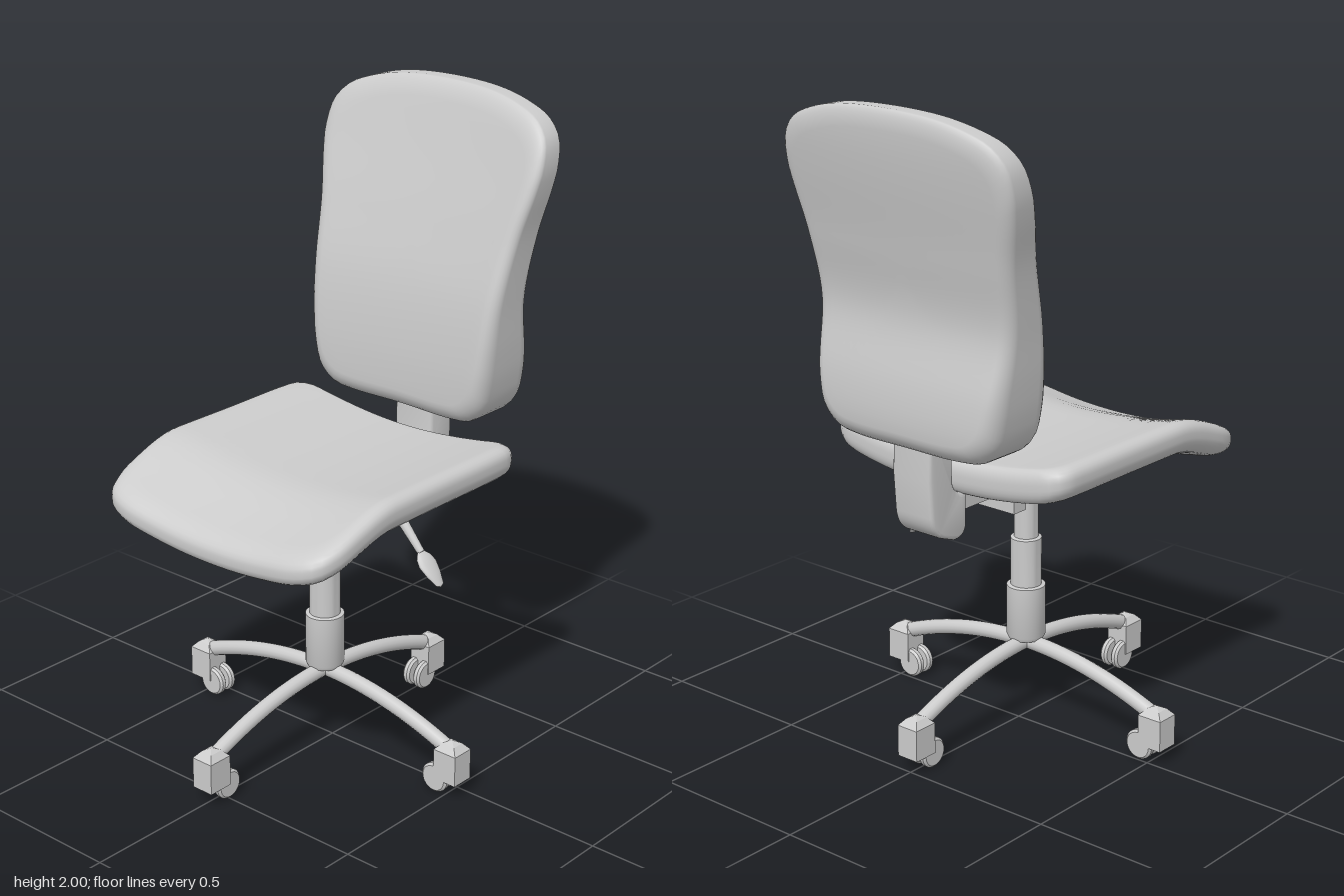
import * as THREE from 'three';
import { mergeVertices, toCreasedNormals } from 'three/addons/utils/BufferGeometryUtils.js';

const smooth = new THREE.MeshStandardMaterial({ color: 0xcccccc, side: THREE.DoubleSide });
const faceted = new THREE.MeshStandardMaterial({ color: 0xcccccc, flatShading: true });
const CZ = 0.035; // z of the column axis

function add(parent, name, geometry, x = 0, y = 0, z = 0, material = smooth) {
  const mesh = new THREE.Mesh(geometry, material);
  mesh.name = name;
  mesh.position.set(x, y, z);
  parent.add(mesh);
  return mesh;
}

const lathe = (pts, segments, phi = 0) =>
  new THREE.LatheGeometry(pts.map(p => new THREE.Vector2(...p)), segments, phi);

// Smooth value table: positions -> values
function table(xs, ys) {
  const f = new THREE.CubicInterpolant(xs, ys, 1);
  return t => f.evaluate(THREE.MathUtils.clamp(t, xs[0], xs[xs.length - 1]))[0];
}

// Padded slab: a mirrored outline, shrunk in rings over both faces, with a rounded rim.
// rs = rim radius as a share of the outline, rw = as a share of the thickness.
function cushion(half, centre, rs, rw, place) {
  const mirrored = half.slice(1, -1).reverse().map(([a, b]) => [-a, b]);
  const outline = new THREE.CatmullRomCurve3(
    [...half, ...mirrored].map(([a, b]) => new THREE.Vector3(a, b, 0)), true, 'centripetal'
  ).getSpacedPoints(120).slice(0, -1);
  const lower = [];
  for (let i = 0; i <= 12; i++) lower.push([(1 - rs) * i / 12, 0]);
  for (let i = 1; i <= 6; i++) {
    const a = i / 6 * Math.PI / 2;
    lower.push([1 - rs + rs * Math.sin(a), rw * (1 - Math.cos(a))]);
  }
  const rings = [...lower, ...lower.slice().reverse().map(([s, w]) => [s, 1 - w])];
  const n = outline.length, pos = [], index = [];
  rings.forEach(([s, w], i) => outline.forEach((p, j) => {
    pos.push(...place(p.x * s, centre + (p.y - centre) * s, w));
    if (i === rings.length - 1) return;
    const a = i * n + j, b = i * n + (j + 1) % n;
    index.push(a, b, a + n, b, b + n, a + n);
  }));
  let g = new THREE.BufferGeometry();
  g.setAttribute('position', new THREE.Float32BufferAttribute(pos, 3));
  g.setIndex(index);
  g = mergeVertices(g, 1e-5);
  g.computeVertexNormals();
  return g;
}

// Seat: dished across, drooping at the front edge
function seatGeometry() {
  const half = [[0, -0.555], [0.2, -0.555], [0.34, -0.552], [0.405, -0.527], [0.434, -0.47], [0.443, -0.38],
    [0.443, 0], [0.443, 0.25], [0.436, 0.31], [0.405, 0.342], [0.34, 0.35], [0, 0.35]];
  return cushion(half, 0.1, 0.11, 0.42, (x, b, w) => {
    const z = -b;
    const droop = 0.085 * THREE.MathUtils.smoothstep(z, 0.22, 0.58);
    return [x, 0.845 + 0.105 * w + 0.054 * (x / 0.43) ** 2 - droop, z];
  });
}

// Backrest: wide at the top, with a lumbar bulge, leaning back
function backGeometry() {
  const half = [[0, 1.013], [0.2, 1.013], [0.27, 1.025], [0.318, 1.07], [0.34, 1.15], [0.352, 1.25], [0.362, 1.4],
    [0.382, 1.6], [0.41, 1.74], [0.418, 1.81], [0.405, 1.885], [0.36, 1.935], [0.29, 1.965], [0.18, 1.99], [0, 2]];
  const front = table([1, 1.2, 1.4, 1.6, 1.8, 2], [-0.287, -0.292, -0.32, -0.377, -0.442, -0.505]);
  const rear = table([1, 1.1, 1.2, 1.4, 1.6, 1.8, 1.9, 2], [-0.525, -0.536, -0.53, -0.495, -0.525, -0.565, -0.581, -0.59]);
  return cushion(half, 1.5, 0.12, 0.24, (x, y, w) =>
    [x - 0.007, y, THREE.MathUtils.lerp(rear(y), front(y), w) + 0.02 * (x / 0.4) ** 2 - 0.006]);
}

// Bent post that carries the backrest
function postGeometry() {
  const shape = new THREE.Shape();
  shape.moveTo(-0.39, 1.06);
  shape.lineTo(-0.39, 0.9);
  shape.quadraticCurveTo(-0.385, 0.85, -0.332, 0.84);
  shape.lineTo(-0.332, 0.755);
  shape.quadraticCurveTo(-0.335, 0.725, -0.37, 0.728);
  shape.lineTo(-0.42, 0.747);
  shape.quadraticCurveTo(-0.455, 0.765, -0.46, 0.81);
  shape.lineTo(-0.468, 0.92);
  shape.lineTo(-0.463, 1.06);
  const g = new THREE.ExtrudeGeometry(shape, {
    depth: 0.122, bevelSize: 0.012, bevelThickness: 0.012, bevelSegments: 3, curveSegments: 8 });
  g.translate(0, 0, -0.061);
  g.rotateY(-Math.PI / 2);
  return toCreasedNormals(g, 0.6);
}

// One base leg along +x with its twin-wheel caster
function makeLeg() {
  const leg = new THREE.Group();
  leg.name = 'baseLeg';
  const arc = new THREE.QuadraticBezierCurve3(
    new THREE.Vector3(0, 0.248, 0), new THREE.Vector3(0.25, 0.248, 0), new THREE.Vector3(0.5, 0.143, 0));
  add(leg, 'legTube', new THREE.TubeGeometry(arc, 24, 0.024, 14));
  const q = Math.SQRT2;
  const housing = lathe([[0, 0.05], [q, 0.05], [q, 0.148], [0.55 * q, 0.168], [0, 0.178]], 4, Math.PI / 4);
  housing.scale(0.041, 1, 0.037);
  add(leg, 'casterHousing', housing.toNonIndexed(), 0.506, 0, 0, faceted);
  for (const side of [-1, 1]) {
    const wheel = lathe([[0, -0.013], [0.04, -0.013], [0.047, -0.006], [0.047, 0.006], [0.04, 0.013], [0, 0.013]], 24);
    wheel.rotateX(Math.PI / 2);
    add(leg, 'casterWheel', toCreasedNormals(wheel, 0.5), 0.463, 0.048, side * 0.021);
  }
  const axle = new THREE.CylinderGeometry(0.014, 0.014, 0.05, 12);
  axle.rotateX(Math.PI / 2);
  add(leg, 'casterAxle', axle, 0.463, 0.048, 0);
  return leg;
}

// Height lever under the seat, ending in a flat paddle
function makeLever() {
  const lever = new THREE.Group();
  lever.name = 'heightLever';
  lever.position.z = -0.12;
  const path = new THREE.CatmullRomCurve3(
    [[0, 0.8, 0.03], [0.06, 0.81, 0.01], [0.115, 0.808, 0], [0.145, 0.778, 0]].map(p => new THREE.Vector3(...p)));
  add(lever, 'leverRod', new THREE.TubeGeometry(path, 16, 0.018, 12));
  const tilt = Math.atan2(0.19, 0.21);
  const shaft = new THREE.CylinderGeometry(0.019, 0.012, 0.17, 12);
  add(lever, 'leverShaft', shaft, 0.193, 0.724, 0).rotation.z = tilt;
  const paddle = lathe([[0, -0.125], [0.016, -0.118], [0.03, -0.08], [0.037, -0.045], [0.03, -0.02], [0.012, 0]], 20);
  paddle.scale(0.4, 1, 1);
  add(lever, 'leverPaddle', paddle, 0.246, 0.664, 0).rotation.z = tilt;
  return lever;
}

export function createModel() {
  const chair = new THREE.Group();
  chair.name = 'officeChair';

  add(chair, 'seat', seatGeometry());
  add(chair, 'backrest', backGeometry());
  add(chair, 'backrestPost', postGeometry());
  add(chair, 'backrestArm', new THREE.BoxGeometry(0.075, 0.06, 0.29), 0, 0.812, -0.2);

  // Tilt mechanism below the seat
  const plate = new THREE.CylinderGeometry(Math.SQRT2, 0.84 * Math.SQRT2, 0.075, 4, 1).rotateY(Math.PI / 4);
  plate.scale(0.1, 1, 0.132);
  add(chair, 'tiltMechanism', plate.toNonIndexed(), 0, 0.823, 0.037, faceted);
  add(chair, 'pivotBlock', new THREE.BoxGeometry(0.14, 0.075, 0.055), 0, 0.757, -0.078);
  chair.add(makeLever());

  // Telescopic column
  const column = lathe([[0, 0.262], [0.054, 0.262], [0.06, 0.275], [0.06, 0.437], [0.048, 0.44], [0.048, 0.592],
    [0.038, 0.596], [0.038, 0.73], [0.028, 0.733], [0.028, 0.8], [0, 0.8]], 32);
  add(chair, 'column', toCreasedNormals(column, 0.5), 0, 0, CZ);

  // Four-legged base
  for (let i = 0; i < 4; i++) {
    const leg = makeLeg();
    leg.position.z = CZ;
    leg.rotation.y = i * Math.PI / 2;
    chair.add(leg);
  }
  return chair;
}
